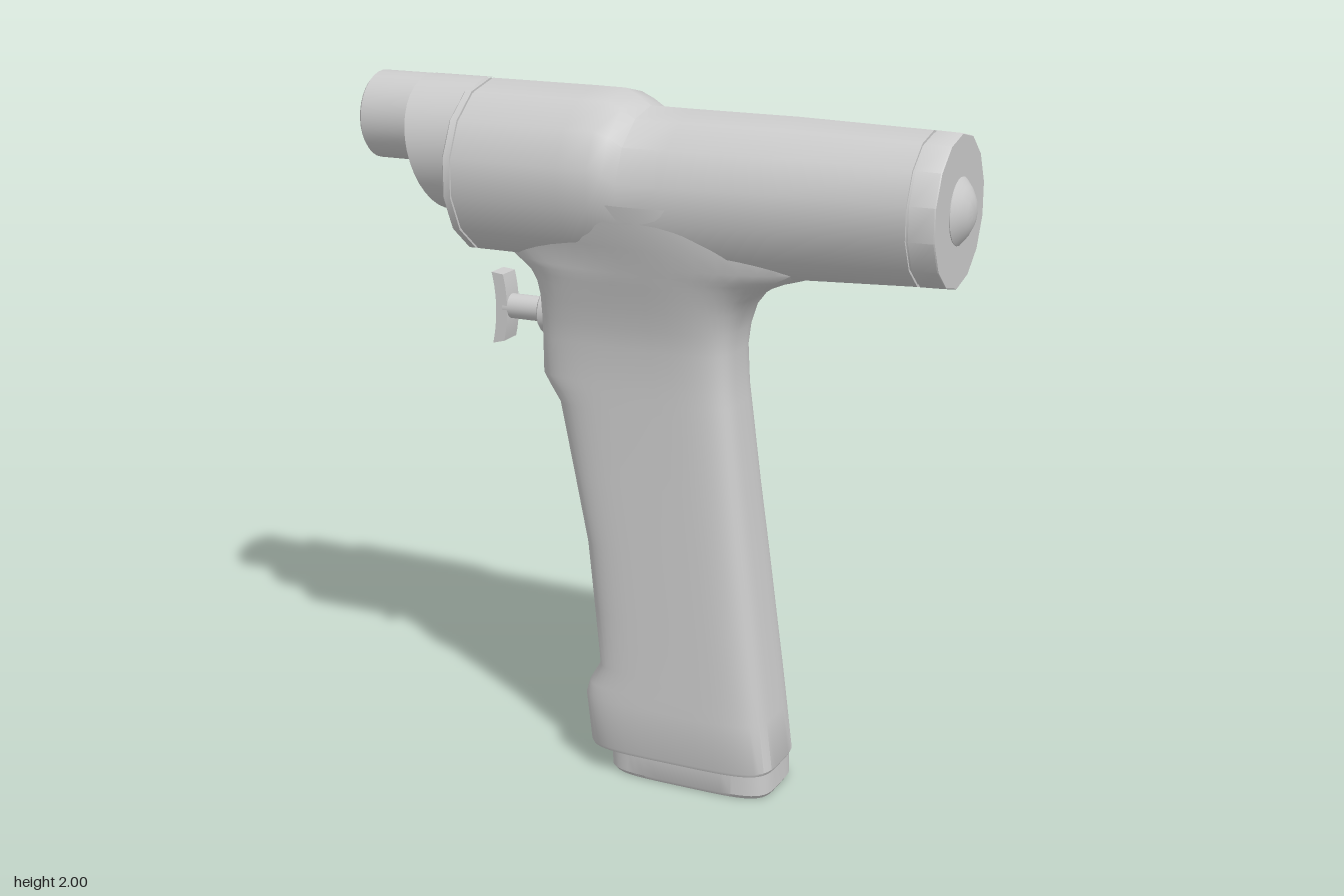
import * as THREE from 'three';
import { toCreasedNormals } from 'three/addons/utils/BufferGeometryUtils.js';

const material = new THREE.MeshStandardMaterial({ color: 0xcccccc });

function addMesh(group, name, geometry) {
  const mesh = new THREE.Mesh(geometry, material);
  mesh.name = name;
  group.add(mesh);
  return mesh;
}

// Skin a list of equally sized closed rings
function loft(rings, crease = 0.6) {
  const n = rings[0].length;
  const index = [];
  for (let r = 0; r < rings.length - 1; r++) {
    for (let i = 0; i < n; i++) {
      const a = r * n + i, b = r * n + (i + 1) % n;
      index.push(a, b, a + n, b, b + n, a + n);
    }
  }
  const geometry = new THREE.BufferGeometry();
  geometry.setAttribute('position', new THREE.Float32BufferAttribute(rings.flat(2), 3));
  geometry.setIndex(index);
  return toCreasedNormals(geometry, crease);
}

// Circle around the x axis
function xRing(x, cy, r, sides) {
  return Array.from({ length: sides }, (_, i) => {
    const t = i / sides * Math.PI * 2;
    return [x, cy + r * Math.cos(t), r * Math.sin(t)];
  });
}

const turned = (rows, sides) => loft(rows.map(([x, cy, r]) => xRing(x, cy, r, sides)));

// Horizontal superellipse; power 2 is an ellipse, higher is boxier
function gripRing(y, x0, x1, halfZ, power) {
  const bend = v => Math.sign(v) * Math.pow(Math.abs(v), 2 / power);
  return Array.from({ length: 48 }, (_, i) => {
    const t = (i + 0.5) / 48 * Math.PI * 2;
    return [(x0 + x1) / 2 + (x1 - x0) / 2 * bend(Math.cos(t)), y, -halfZ * bend(Math.sin(t))];
  });
}

export function createModel() {
  const group = new THREE.Group();

  // Barrel with a step on top and narrow seams near both ends: x, centre y, radius
  addMesh(group, 'barrel', turned([
    [-0.555, 1.755, 0], [-0.555, 1.755, 0.24], [-0.55, 1.755, 0.245],
    [-0.53, 1.755, 0.245], [-0.53, 1.755, 0.238], [-0.522, 1.755, 0.238], [-0.522, 1.755, 0.245],
    [-0.2, 1.755, 0.245], [-0.11, 1.755, 0.244], [-0.07, 1.745, 0.236], [-0.03, 1.725, 0.231],
    [0.1, 1.727, 0.228], [0.4, 1.735, 0.22],
    [0.775, 1.74, 0.207], [0.775, 1.74, 0.2], [0.783, 1.74, 0.2], [0.783, 1.74, 0.207],
    [0.85, 1.74, 0.205], [0.853, 1.74, 0.203], [0.853, 1.74, 0],
  ], 14));

  // Rounded button on the rear cap
  addMesh(group, 'rearButton', turned([
    [0.845, 1.742, 0.09], [0.855, 1.742, 0.09], [0.873, 1.742, 0.068],
    [0.887, 1.742, 0.042], [0.892, 1.742, 0.02], [0.892, 1.742, 0],
  ], 24));

  // Collar whose front slopes back towards the bottom
  const collarFront = xRing(0, 1.81, 0.19, 36).map(([, y, z]) =>
    [-0.725 + 0.075 * Math.pow(Math.max(0, (2 - y) / 0.38), 1.3), y, z]);
  addMesh(group, 'collar', loft([
    xRing(-0.725, 1.875, 0.12, 36), collarFront, xRing(-0.54, 1.81, 0.19, 36),
  ]));

  // Nose with a small bore
  addMesh(group, 'nose', turned([
    [-0.8, 1.875, 0], [-0.8, 1.875, 0.03], [-0.892, 1.875, 0.03], [-0.892, 1.875, 0.118],
    [-0.885, 1.875, 0.125], [-0.7, 1.875, 0.125],
  ], 32));

  // Handle flaring into the barrel: y, front x, back x, half width, squareness
  addMesh(group, 'handle', loft([
    [0.075, 0.1, 0.1001, 0.0001, 4], [0.075, -0.185, 0.383, 0.146, 4.5],
    [0.085, -0.19, 0.388, 0.15, 4.5], [0.23, -0.207, 0.37, 0.149, 4.5],
    [0.27, -0.195, 0.365, 0.148, 4.5], [0.33, -0.16, 0.357, 0.146, 4.5],
    [0.5, -0.178, 0.335, 0.141, 4.5], [0.7, -0.2, 0.309, 0.136, 4.5],
    [0.9, -0.243, 0.282, 0.13, 4.5], [1.11, -0.288, 0.256, 0.126, 4.5],
    [1.15, -0.315, 0.251, 0.126, 4.5], [1.19, -0.34, 0.246, 0.126, 4.5],
    [1.3, -0.342, 0.241, 0.13, 4.2], [1.36, -0.343, 0.248, 0.139, 4],
    [1.42, -0.347, 0.268, 0.154, 3.6], [1.46, -0.36, 0.3, 0.165, 3.2],
    [1.49, -0.385, 0.345, 0.174, 2.8], [1.51, -0.42, 0.395, 0.18, 2.5],
    [1.525, -0.45, 0.45, 0.184, 2.3], [1.55, -0.47, 0.51, 0.191, 2.1],
    [1.6, -0.48, 0.52, 0.205, 2], [1.66, -0.47, 0.48, 0.222, 2],
    [1.72, -0.4, 0.4, 0.232, 2],
  ].map(row => gripRing(...row))));

  // Narrower plate under the handle
  addMesh(group, 'basePlate', loft([
    [0, 0.13, 0.1301, 0.0001, 4], [0, -0.115, 0.376, 0.126, 4.5],
    [0.012, -0.125, 0.384, 0.134, 4.5], [0.08, -0.127, 0.382, 0.134, 4.5],
  ].map(row => gripRing(...row))));

  // Trigger: guide bush, stem and a concave finger pad
  const trigger = new THREE.Group();
  trigger.name = 'trigger';
  group.add(trigger);
  addMesh(trigger, 'triggerBush', turned([
    [-0.366, 1.348, 0], [-0.366, 1.348, 0.058], [-0.36, 1.348, 0.065], [-0.32, 1.348, 0.065],
  ], 24));
  addMesh(trigger, 'triggerStem', turned([[-0.49, 1.348, 0.036], [-0.34, 1.348, 0.036]], 20));

  const pad = new THREE.Shape();
  pad.moveTo(-0.522, 1.24);
  pad.lineTo(-0.485, 1.25);
  pad.quadraticCurveTo(-0.462, 1.348, -0.485, 1.446);
  pad.lineTo(-0.522, 1.45);
  pad.quadraticCurveTo(-0.497, 1.348, -0.522, 1.24);
  const padGeometry = new THREE.ExtrudeGeometry(pad, { depth: 0.07, bevelEnabled: false, curveSegments: 10 });
  padGeometry.translate(0, 0, -0.035);
  addMesh(trigger, 'triggerPad', toCreasedNormals(padGeometry, 0.6));

  return group;
}
